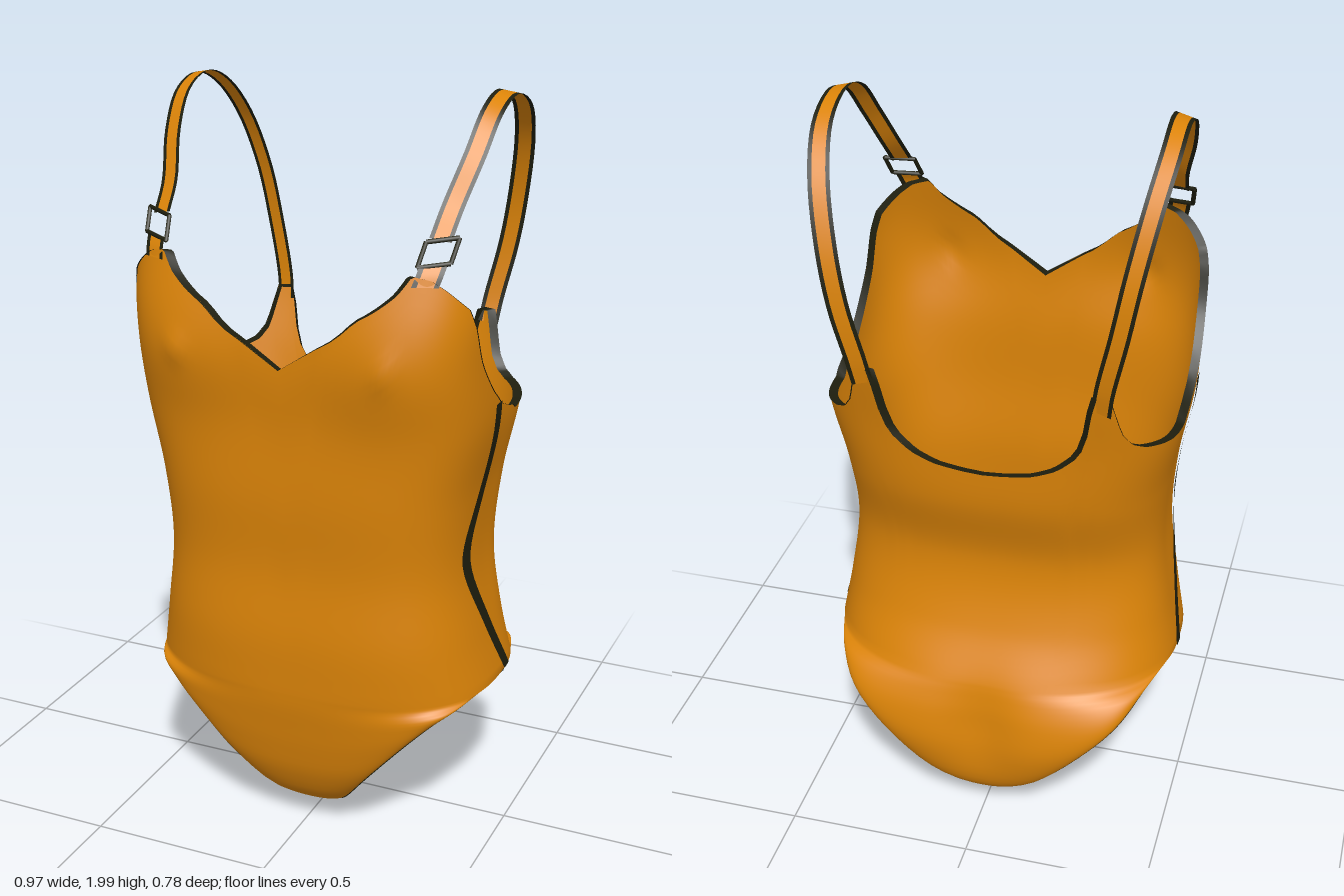
import * as THREE from 'three';
import { mergeGeometries, mergeVertices } from 'three/addons/utils/BufferGeometryUtils.js';

const fabric = new THREE.MeshStandardMaterial({ color: 0xdc8408, side: THREE.DoubleSide });
fabric.name = 'orange fabric';
const trim = new THREE.MeshStandardMaterial({ color: 0x1e1e0e, side: THREE.DoubleSide });
trim.name = 'dark trim';

const V = (x, y, z) => new THREE.Vector3(x, y, z);
const gauss = (d, r) => Math.exp(-(d * d) / (r * r));
const spow = (v, e) => Math.sign(v) * Math.pow(Math.abs(v), e);
const table = (rows, Type) => new Type(rows.map(r => r[0]), rows.flatMap(r => r.slice(1)), rows[0].length - 1);

// height, half width, front depth, back depth, front and back squareness
const section = table([
  [0.46, 0.48, 0.35, 0.345, 0.72, 0.85], [0.6, 0.452, 0.355, 0.275, 0.66, 0.79],
  [0.8, 0.425, 0.345, 0.238, 0.6, 0.75], [1.0, 0.435, 0.358, 0.285, 0.57, 0.7],
  [1.2, 0.468, 0.36, 0.302, 0.52, 0.6], [1.38, 0.472, 0.372, 0.336, 0.46, 0.6],
  [1.5, 0.477, 0.364, 0.34, 0.45, 0.6], [1.65, 0.465, 0.337, 0.34, 0.45, 0.6],
], THREE.CubicInterpolant);

// angle from the front centre, height of the upper edge
const upperEdge = table([
  [0, 1.355], [1.8, 1.42], [8.4, 1.5], [21, 1.57], [27, 1.615], [37, 1.605], [46, 1.58], [62, 1.53], [68, 1.48],
  [75, 1.39], [82, 1.315], [86.8, 1.26], [90, 1.215], [94, 1.19], [108, 1.195], [130, 1.21], [137.6, 1.225],
  [143, 1.26], [146, 1.32], [147.2, 1.37], [154.5, 1.37], [157, 1.27], [160, 1.19], [166, 1.14], [172, 1.115], [180, 1.1],
], THREE.LinearInterpolant);

// centre height, centre depth, edge half width, edge height, edge depth
const gusset = table([
  [0.46, 0.35, 0.48, 0.46, 0], [0.41, 0.345, 0.437, 0.443, 0.2], [0.35, 0.335, 0.375, 0.4, 0.265],
  [0.27, 0.32, 0.3, 0.325, 0.285], [0.18, 0.295, 0.2, 0.21, 0.275], [0.09, 0.24, 0.115, 0.1, 0.215],
  [0.03, 0.13, 0.055, 0.035, 0.125], [0.01, 0.03, 0.022, 0.012, 0.03], [0.018, -0.08, 0.018, 0.02, -0.08],
  [0.04, -0.2, 0.04, 0.045, -0.195], [0.08, -0.315, 0.08, 0.085, -0.275], [0.14, -0.365, 0.16, 0.15, -0.33],
  [0.25, -0.39, 0.275, 0.27, -0.345], [0.35, -0.38, 0.37, 0.37, -0.31], [0.42, -0.36, 0.43, 0.44, -0.2],
  [0.46, -0.345, 0.48, 0.46, 0],
].map((r, i) => [i, ...r, i ? 0.85 : 0.72]), THREE.CubicInterpolant);

// Bust and seat shaping
function shape(p) {
  if (p.z > 0.1) {
    const d = Math.hypot(Math.abs(p.x) - 0.28, p.y - 1.38);
    p.z += 0.022 * gauss(d, 0.16) + 0.01 * gauss(d, 0.035);
  } else if (p.z < -0.2) {
    p.z += 0.03 * gauss(p.x, 0.1) * gauss(p.y - 0.3, 0.15);
  }
  return p;
}

// Point on the torso at an angle (degrees) and height
function torso(deg, y) {
  const [w, f, b, ef, eb] = section.evaluate(y);
  const a = THREE.MathUtils.degToRad(deg), c = Math.cos(a);
  const e = c > 0 ? ef : eb;
  return shape(V(w * spow(Math.sin(a), e), y, (c > 0 ? f : b) * spow(c, e)));
}
const topY = deg => upperEdge.evaluate(Math.abs(deg))[0];

// Point on the piece running between the legs, from front to back
function gussetPoint(deg, t) {
  const [yc, zc, w, ye, ze, e] = gusset.evaluate(t);
  const a = THREE.MathUtils.degToRad(deg), s = Math.sin(a);
  const k = Math.pow(Math.max(0, Math.cos(a)), e);
  return shape(V(w * spow(s, e), yc + (ye - yc) * s * s, ze + (zc - ze) * k));
}

function grid(nu, nv, fn) {
  const pos = [], index = [];
  for (let j = 0; j <= nv; j++) for (let i = 0; i <= nu; i++) pos.push(...fn(i / nu, j / nv).toArray());
  for (let j = 0; j < nv; j++) for (let i = 0; i < nu; i++) {
    const a = j * (nu + 1) + i, b = a + 1, c = a + nu + 1, d = c + 1;
    index.push(a, b, d, a, d, c);
  }
  const g = new THREE.BufferGeometry();
  g.setAttribute('position', new THREE.Float32BufferAttribute(pos, 3));
  g.setIndex(index);
  g.computeVertexNormals();
  return g;
}

function add(parent, name, geometry, material) {
  const m = new THREE.Mesh(geometry, material);
  m.name = name;
  parent.add(m);
}

// Binding: a narrow band turned inward from an open edge towards a core point
function binding(parent, name, n, edge, core) {
  add(parent, name, grid(1, n, (u, v) => {
    const p = edge(v), inward = core(p).sub(p).normalize();
    return p.addScaledVector(inward, u * 0.024 - 0.003);
  }), trim);
}

// Flat band with dark bound edges
function band(parent, name, path, width) {
  const curve = new THREE.CatmullRomCurve3(path);
  const n = path.length * 4;
  const strip = (from, to) => grid(1, n, (u, v) => curve.getPoint(v).addScaledVector(width, from + (to - from) * u));
  add(parent, name, strip(-0.62, 0.62), fabric);
  add(parent, name + 'Edge', mergeGeometries([strip(-1, -0.62), strip(0.62, 1)]), trim);
}

export function createModel() {
  const suit = new THREE.Group();
  suit.name = 'swimsuit';

  // Body shell, open at the top and the legs
  const upper = grid(192, 36, (u, v) => {
    const deg = u * 360 - 180;
    return torso(deg, 0.46 + (topY(deg) - 0.46) * v);
  });
  const lower = grid(96, 60, (u, v) => gussetPoint(u * 180 - 90, 15 * (1 - v)));
  const merged = mergeGeometries([upper, lower]);
  merged.deleteAttribute('normal');
  const body = mergeVertices(merged, 1e-4);
  body.computeVertexNormals();
  add(suit, 'body', body, fabric);

  // Binding round the neckline and armholes
  binding(suit, 'upperBinding', 192, v => torso(v * 360 - 180, topY(v * 360 - 180)), p => V(0, p.y - 0.05, 0));

  for (const s of [1, -1]) {
    const side = new THREE.Group();
    side.name = s > 0 ? 'leftSide' : 'rightSide';
    suit.add(side);

    binding(side, 'legBinding', 120, v => gussetPoint(90 * s, 15 * v), () => V(0, 0.42, 0));

    // Side seam strip, laid on the body
    const seam = new THREE.CatmullRomCurve3([
      V(0, 0.465, -0.025), V(0, 0.65, 0.07), V(0, 0.82, 0.148), V(0, 0.88, 0.148), V(0, 1.05, 0.092), V(0, 1.25, 0.09),
    ], false, 'centripetal');
    add(side, 'sideSeam', grid(2, 30, (u, v) => {
      const p = seam.getPoint(v), z = p.z + (u - 0.5) * 0.04;
      const [, f, b, ef, eb] = section.evaluate(p.y);
      const c = z > 0 ? Math.pow(z / f, 1 / ef) : -Math.pow(-z / b, 1 / eb);
      const q = torso(THREE.MathUtils.radToDeg(Math.acos(c)), p.y);
      return V(s * (q.x + 0.005), p.y, z);
    }), trim);

    // Shoulder strap from the back to the buckle, and the tab below it
    const m = (x, y, z) => V(x * s, y, z);
    band(side, 'shoulderStrap', [
      m(0.302, 1.33, -0.31), m(0.312, 1.4, -0.324), m(0.345, 1.55, -0.338), m(0.372, 1.7, -0.325),
      m(0.4, 1.85, -0.27), m(0.418, 1.95, -0.18), m(0.42, 1.993, -0.06), m(0.418, 1.96, 0.05),
      m(0.406, 1.87, 0.13), m(0.38, 1.76, 0.2), m(0.372, 1.69, 0.26),
    ], m(0.026, -0.005, -0.006));
    band(side, 'strapTab', [m(0.36, 1.59, 0.325), m(0.366, 1.615, 0.312), m(0.37, 1.64, 0.295)], m(0.03, 0, -0.013));

    // Open rectangular buckle
    const corners = [m(0.334, 1.632, 0.31), m(0.406, 1.642, 0.278), m(0.414, 1.697, 0.243), m(0.342, 1.687, 0.275)];
    corners.forEach((p, i) => {
      add(side, 'buckleBar', new THREE.TubeGeometry(new THREE.LineCurve3(p, corners[(i + 1) % 4]), 1, 0.006, 6), trim);
    });
  }
  return suit;
}
